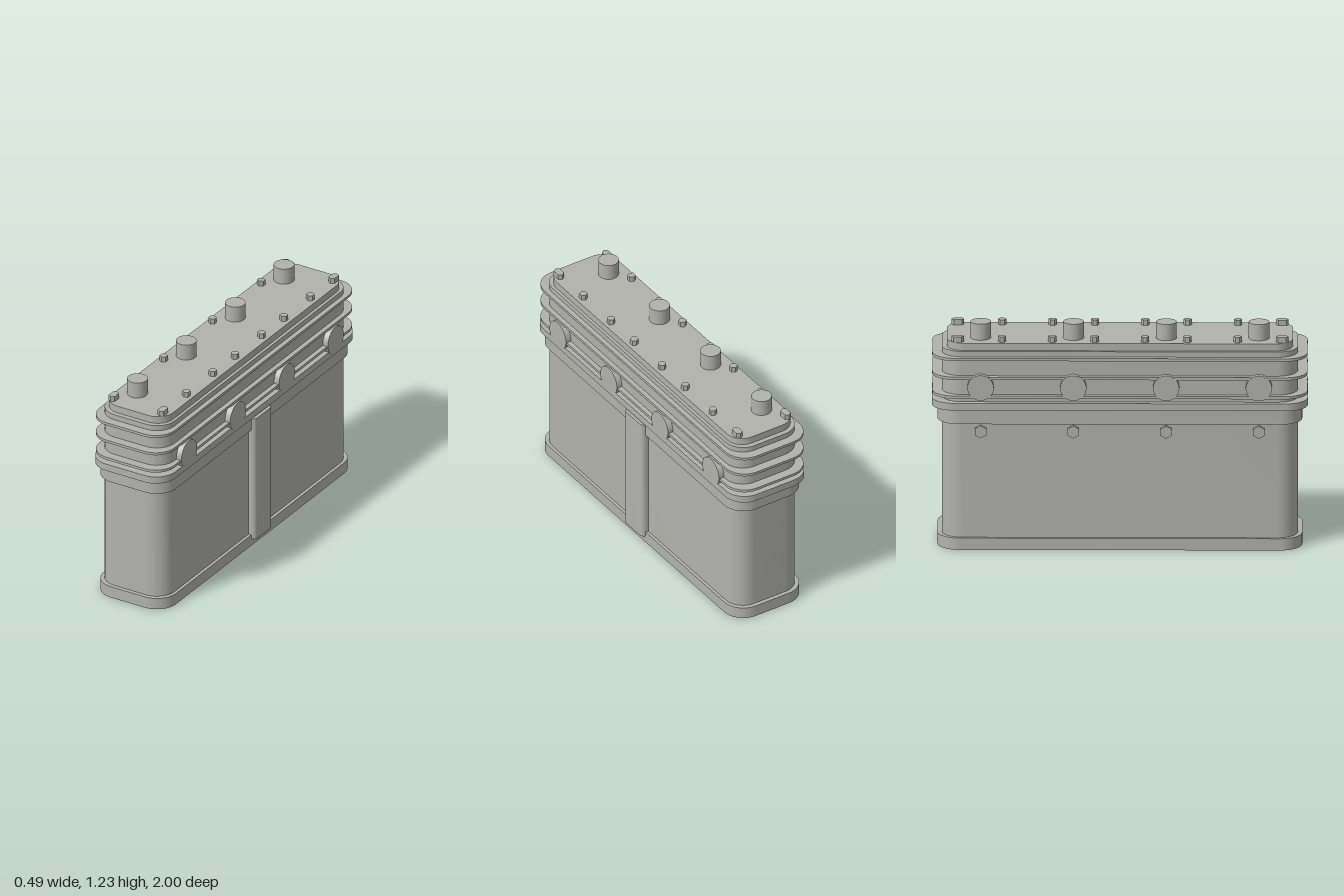
import * as THREE from 'three';
import { toCreasedNormals } from 'three/addons/utils/BufferGeometryUtils.js';

const metal = new THREE.MeshStandardMaterial({ color: 0xb2b2ad });
metal.name = 'castGrey';

const CX = -0.005; // centre line of the block

export function createModel() {
  const model = new THREE.Group();
  model.name = 'engineBlock';

  const add = (name, geometry, x = 0, y = 0, z = 0) => {
    const mesh = new THREE.Mesh(geometry, metal);
    mesh.name = name;
    mesh.position.set(x, y, z);
    model.add(mesh);
    return mesh;
  };

  // Extrude a plan outline upward from y = 0
  const extrudeUp = (shape, height) => {
    const g = new THREE.ExtrudeGeometry(shape, { depth: height, bevelEnabled: false, curveSegments: 8 });
    g.rotateX(-Math.PI / 2);
    return toCreasedNormals(g, 0.6);
  };

  // Rounded rectangular slab: half width, half length, corner radius, bottom, top
  const slab = (name, w, l, r, y0, y1) => {
    const s = new THREE.Shape();
    s.absarc(w - r, l - r, r, 0, Math.PI / 2);
    s.absarc(-w + r, l - r, r, Math.PI / 2, Math.PI);
    s.absarc(-w + r, -l + r, r, Math.PI, Math.PI * 1.5);
    s.absarc(w - r, -l + r, r, Math.PI * 1.5, Math.PI * 2);
    s.closePath();
    return add(name, extrudeUp(s, y1 - y0), CX, y0, 0);
  };

  // Crankcase
  slab('baseFlange', 0.226, 0.97, 0.12, 0, 0.065);
  slab('blockBody', 0.209, 0.947, 0.11, 0.065, 0.7);
  slab('blockTopFlange', 0.226, 0.97, 0.12, 0.7, 0.78);

  // Cylinder head with cooling fins and cover
  slab('headPlate', 0.239, 1.0, 0.12, 0.78, 0.82);
  slab('headBody', 0.209, 0.947, 0.11, 0.82, 1.1);
  for (const y of [0.845, 0.95, 1.055]) slab('coolingFin', 0.236, 0.998, 0.12, y, y + 0.015);
  slab('headCover', 0.192, 0.92, 0.095, 1.1, 1.14);

  // Plugs on the cover, ports on both sides and side bolts, one set per cylinder
  const plug = new THREE.CylinderGeometry(0.055, 0.055, 0.09, 28);
  const sideDisc = (r, depth, sides) => new THREE.CylinderGeometry(r, r, depth, sides).rotateZ(Math.PI / 2);
  const leftPort = sideDisc(0.08, 0.05, 32);
  const rightPort = sideDisc(0.07, 0.05, 32);
  const boltHead = toCreasedNormals(sideDisc(0.035, 0.021, 6).rotateX(Math.PI / 2), 0.5);
  const boltShank = sideDisc(0.015, 0.03, 12);
  for (const z of [-0.74, -0.247, 0.247, 0.74]) {
    add('plug', plug, -0.088, 1.185, z);
    add('leftPort', leftPort, 0.211, 0.865, z);
    add('rightPort', rightPort, -0.219, 0.905, z);
    add('sideBoltHead', boltHead, -0.2335, 0.66, z);
    add('sideBoltShank', boltShank, -0.215, 0.66, z);
  }

  // Hexagonal cover bolts; the end ones sit as close pairs
  const hexBolt = toCreasedNormals(new THREE.CylinderGeometry(0.022, 0.022, 0.03, 6), 0.5);
  for (const x of [-0.16, 0.147])
    for (const z of [0.134, 0.359, 0.627, 0.852, 0.874])
      for (const side of [-1, 1]) add('coverBolt', hexBolt, x, 1.155, side * z);

  // Vertical rib on the left side, with rounded outer edges
  const rib = new THREE.Shape();
  rib.moveTo(0.19, -0.09);
  rib.lineTo(0.215, -0.09);
  rib.quadraticCurveTo(0.244, -0.088, 0.244, -0.06);
  rib.lineTo(0.244, 0.06);
  rib.quadraticCurveTo(0.244, 0.088, 0.215, 0.09);
  rib.lineTo(0.19, 0.09);
  rib.closePath();
  add('sideRib', extrudeUp(rib, 0.73), 0, 0.04, 0);

  return model;
}
